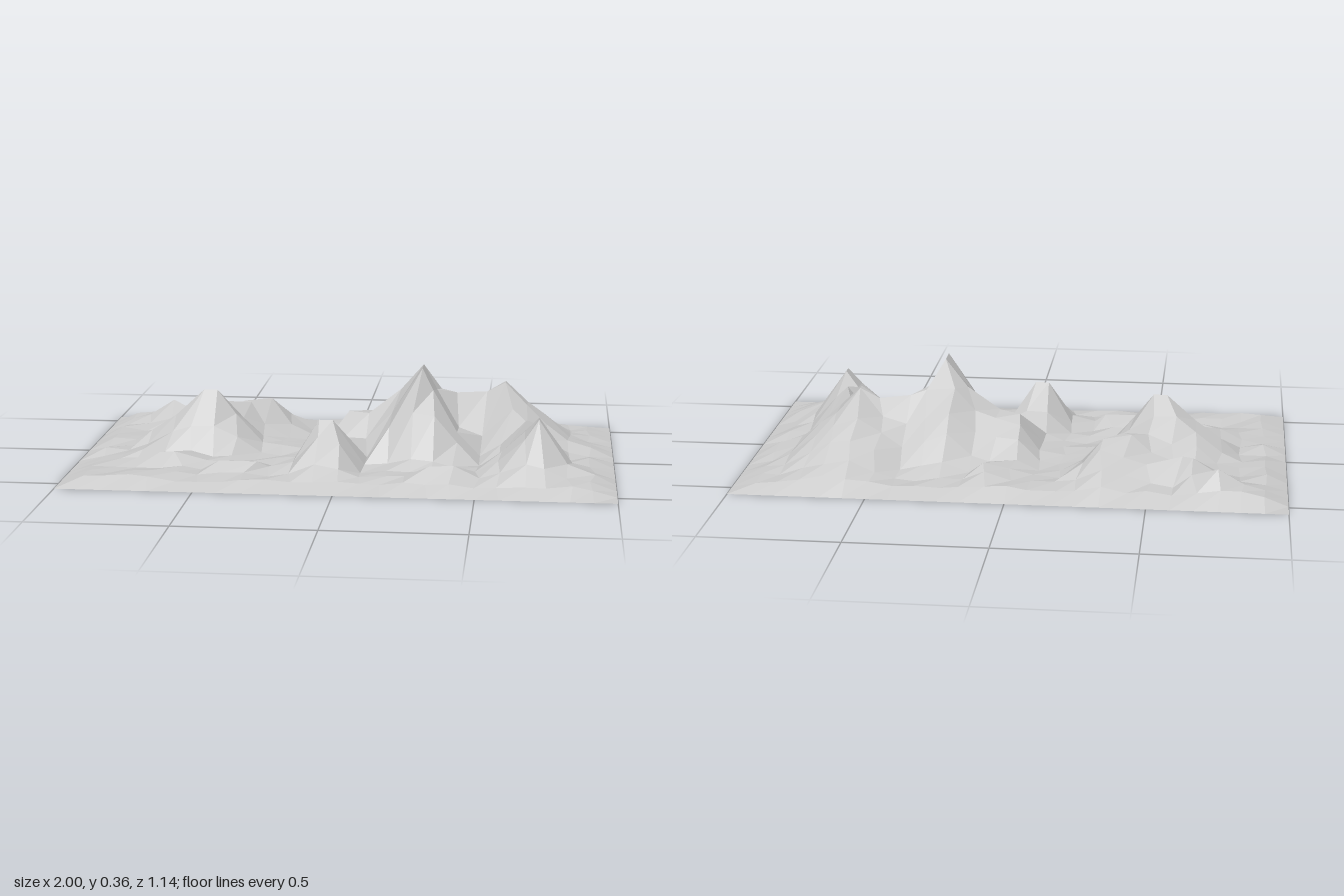
import * as THREE from 'three';

const W = 2, D = 1.14, COLS = 24, ROWS = 14;

// Each ridge runs from crest a to crest b, both [x, z, height];
// reach = how far its slopes extend to [-x, +x, -z, +z].
const RIDGES = [
  // tall central peak with its western arm and eastern saddle
  { a: [0.285, 0, 0.365], b: [0.285, 0.08, 0.365], reach: [0.26, 0.22, 0.42, 0.22] },
  { a: [0.2, -0.02, 0.265], b: [0, -0.04, 0.17], reach: [0.12, 0.1, 0.3, 0.25] },
  { a: [0.35, -0.06, 0.26], b: [0.52, -0.12, 0.24], reach: [0.1, 0.1, 0.4, 0.15] },
  // eastern peak and the spur joining it to the south-eastern peak
  { a: [0.59, -0.1, 0.28], b: [0.59, -0.13, 0.28], reach: [0.22, 0.33, 0.45, 0.22] },
  { a: [0.7, 0.18, 0.19], b: [0.62, 0, 0.2], reach: [0.12, 0.2, 0.15, 0.12] },
  { a: [0.72, 0.26, 0.23], b: [0.72, 0.3, 0.23], reach: [0.25, 0.17, 0.2, 0.2] },
  // front peak
  { a: [-0.08, 0.27, 0.205], b: [-0.03, 0.27, 0.205], reach: [0.14, 0.12, 0.3, 0.22] },
  // western peak, its shoulder and the low back spur
  { a: [-0.55, 0, 0.25], b: [-0.5, 0, 0.25], reach: [0.32, 0.22, 0.35, 0.21] },
  { a: [-0.5, -0.04, 0.21], b: [-0.4, -0.2, 0.16], reach: [0.25, 0.2, 0.2, 0.15] },
  { a: [-0.43, -0.22, 0.16], b: [-0.33, -0.28, 0.16], reach: [0.22, 0.16, 0.3, 0.2] },
  { a: [-0.75, -0.43, 0.11], b: [-0.62, -0.3, 0.11], reach: [0.2, 0.18, 0.14, 0.2] },
  // low foothills
  { a: [-0.44, 0.34, 0.06], b: [-0.3, 0.34, 0.06], reach: [0.1, 0.1, 0.2, 0.1] },
  { a: [0.33, 0.41, 0.075], b: [0.42, 0.41, 0.08], reach: [0.18, 0.18, 0.25, 0.13] },
  { a: [0, -0.49, 0.04], b: [0.1, -0.36, 0.08], reach: [0.25, 0.12, 0.15, 0.2] },
  { a: [-0.75, 0.2, 0.06], b: [-0.62, 0.26, 0.07], reach: [0.18, 0.15, 0.25, 0.1] },
];

// repeatable noise in -1..1
function noise(i, k) {
  const s = Math.sin(i * 127.1 + k * 311.7) * 43758.5453;
  return (s - Math.floor(s)) * 2 - 1;
}

function ridgeHeight({ a, b, reach }, x, z) {
  const ux = b[0] - a[0], uz = b[1] - a[1];
  const t = THREE.MathUtils.clamp(((x - a[0]) * ux + (z - a[1]) * uz) / (ux * ux + uz * uz), 0, 1);
  const dx = x - a[0] - ux * t, dz = z - a[1] - uz * t;
  const d = Math.hypot(dx / reach[dx < 0 ? 0 : 1], dz / reach[dz < 0 ? 2 : 3]);
  return (a[2] + (b[2] - a[2]) * t) * Math.pow(Math.max(0, 1 - d), 1.12);
}

function edgeDistance(x, z) {
  return Math.max(0, Math.min(W / 2 - Math.abs(x), D / 2 - Math.abs(z)));
}

function createTerrain() {
  const geo = new THREE.PlaneGeometry(W, D, COLS, ROWS).rotateX(-Math.PI / 2);
  const pos = geo.attributes.position;
  const pinned = new Set();

  // pull the nearest grid point onto each crest end so summits stay sharp
  for (const { a, b } of RIDGES) {
    for (const [x, z] of [a, b]) {
      const col = Math.round((x / W + 0.5) * COLS);
      const row = Math.round((z / D + 0.5) * ROWS);
      const i = row * (COLS + 1) + col;
      if (pinned.has(i)) continue;
      pos.setXYZ(i, x, 0, z);
      pinned.add(i);
    }
  }

  // raise the sheet: highest ridge over gently uneven ground, falling to the rim
  for (let i = 0; i < pos.count; i++) {
    let x = pos.getX(i), z = pos.getZ(i);
    const edge = edgeDistance(x, z);
    const free = edge > 0.01 && !pinned.has(i);
    if (free) {
      x += noise(i, 1) * 0.012;
      z += noise(i, 2) * 0.012;
    }
    let y = 0.028 + noise(i, 3) * 0.01;
    for (const r of RIDGES) y = Math.max(y, ridgeHeight(r, x, z) + (free ? noise(i, 4) * 0.008 : 0));
    y = Math.min(y, edge * 0.35 + Math.max(0, edge - 0.07) * 2);
    pos.setXYZ(i, x, edge < 1e-4 ? 0 : y, z);
  }
  geo.computeVertexNormals();

  const mat = new THREE.MeshStandardMaterial({ color: 0xcccccc, flatShading: true, side: THREE.DoubleSide });
  const mesh = new THREE.Mesh(geo, mat);
  mesh.name = 'mountainTerrain';
  return mesh;
}

export function createModel() {
  const group = new THREE.Group();
  group.name = 'mountainRange';
  group.add(createTerrain());
  return group;
}
